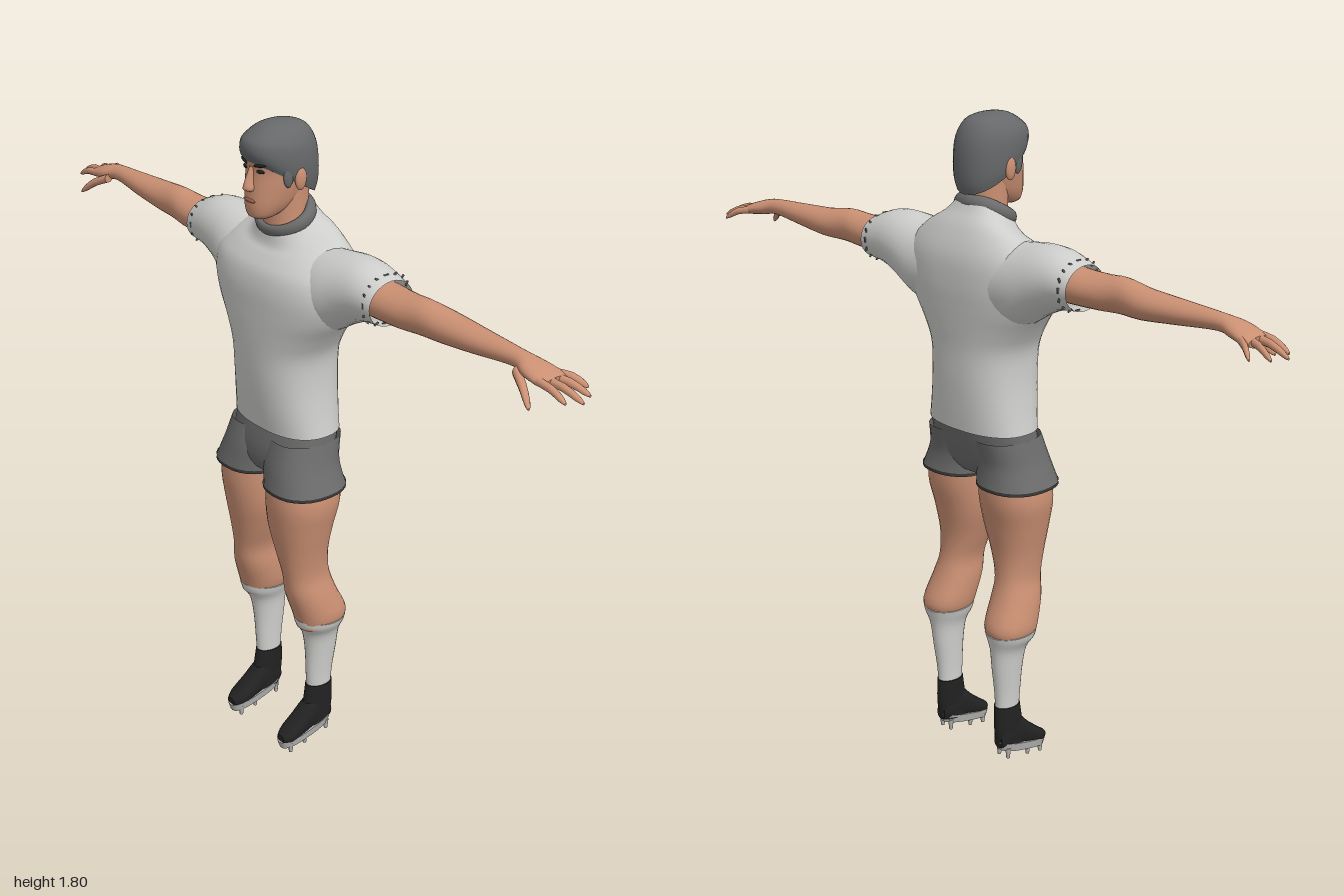
import * as THREE from 'three';

const mat = (name, color, double) => {
  const m = new THREE.MeshStandardMaterial({ color });
  m.name = name;
  if (double) m.side = THREE.DoubleSide;
  return m;
};

// Smooth skin through oval rings [t, aMin, aMax, bMin, bMax, tilt].
// t runs along the axis; (a, b) is (x, z) for y, (z, y) for x and (y, x) for z.
function loft(axis, rings, { power = 2, sides = 28, steps = 4, caps = true } = {}) {
  const rows = [];
  const at = i => rings[Math.max(0, Math.min(rings.length - 1, i))];
  for (let i = 0; i < rings.length - 1; i++)
    for (let s = 0; s < steps; s++) {
      const u = s / steps;
      rows.push([0, 1, 2, 3, 4, 5].map(k => {
        const [p, q, r, w] = [-1, 0, 1, 2].map(d => at(i + d)[k] || 0);
        const m0 = (r - p) / 2, m1 = (w - q) / 2;
        return (2 * u ** 3 - 3 * u * u + 1) * q + (u ** 3 - 2 * u * u + u) * m0
          + (3 * u * u - 2 * u ** 3) * r + (u ** 3 - u * u) * m1;
      }));
    }
  rows.push(at(rings.length));
  const pos = [], idx = [];
  const put = (a, t, b) => pos.push(...(axis === 'y' ? [a, t, b] : axis === 'x' ? [t, b, a] : [b, a, t]));
  const ring = ([t, a0, a1, b0, b1, tilt = 0]) => {
    const start = pos.length / 3;
    for (let j = 0; j < sides; j++) {
      const th = j / sides * Math.PI * 2, c = Math.cos(th), s = Math.sin(th);
      const a = (a0 + a1) / 2 + (a1 - a0) / 2 * Math.sign(c) * Math.abs(c) ** (2 / power);
      const db = (b1 - b0) / 2 * Math.sign(s) * Math.abs(s) ** (2 / power);
      put(a, t - tilt * db, (b0 + b1) / 2 + db);
    }
    return start;
  };
  rows.forEach(ring);
  for (let i = 0; i < rows.length - 1; i++)
    for (let j = 0; j < sides; j++) {
      const p = i * sides + j, q = i * sides + (j + 1) % sides;
      idx.push(p, p + sides, q, q, p + sides, q + sides);
    }
  if (caps) [rows[0], rows[rows.length - 1]].forEach((r, end) => {
    const s = ring(r), c = pos.length / 3;
    put((r[1] + r[2]) / 2, r[0], (r[3] + r[4]) / 2);
    for (let j = 0; j < sides; j++) {
      const p = s + j, q = s + (j + 1) % sides;
      end ? idx.push(c, q, p) : idx.push(c, p, q);
    }
  });
  const g = new THREE.BufferGeometry();
  g.setAttribute('position', new THREE.Float32BufferAttribute(pos, 3));
  g.setIndex(idx);
  g.computeVertexNormals();
  return g;
}

// Copy of a geometry on the other side of the body
function mirrored(geo) {
  const g = geo.clone().scale(-1, 1, 1), i = g.index.array;
  for (let k = 0; k < i.length; k += 3) [i[k], i[k + 1]] = [i[k + 1], i[k]];
  g.computeVertexNormals();
  return g;
}

const blob = (x, y, z, rx, ry, rz) => new THREE.SphereGeometry(1, 16, 12).scale(rx, ry, rz).translate(x, y, z);

export function createModel() {
  const model = new THREE.Group();
  const skin = mat('skin', 0xcb9073), shirt = mat('shirt', 0xcdcdcb, true), grey = mat('shorts grey', 0x6c6c6c, true);
  const hair = mat('hair', 0x66686a), black = mat('black', 0x222222), white = mat('sock white', 0xd2d2d0);
  const sole = mat('sole grey', 0xb4b4b2), lip = mat('lips', 0xa3644f), trim = mat('dark trim', 0x3a3a3a, true);
  const add = (name, geo, m) => {
    const mesh = new THREE.Mesh(geo, m);
    mesh.name = name;
    model.add(mesh);
  };
  const pair = (name, geo, m) => {
    add('left ' + name, geo, m);
    add('right ' + name, mirrored(geo), m);
  };

  // Shirt
  add('shirt body', loft('y', [
    [0.98, -0.163, 0.163, -0.11, 0.095], [1.04, -0.152, 0.152, -0.115, 0.105],
    [1.12, -0.143, 0.143, -0.12, 0.115], [1.2, -0.146, 0.146, -0.122, 0.12],
    [1.26, -0.175, 0.175, -0.127, 0.122], [1.32, -0.215, 0.215, -0.132, 0.122],
    [1.38, -0.235, 0.235, -0.135, 0.12], [1.44, -0.225, 0.225, -0.13, 0.108, 0.1],
    [1.49, -0.17, 0.17, -0.105, 0.085, 0.3], [1.52, -0.11, 0.11, -0.08, 0.068, 0.5],
    [1.55, -0.076, 0.076, -0.064, 0.062, 0.58]
  ], { power: 2.4, sides: 40, caps: false }), shirt);
  pair('sleeve', loft('x', [
    [0.1, -0.12, 0.07, 1.28, 1.49], [0.18, -0.122, 0.075, 1.285, 1.5],
    [0.25, -0.115, 0.06, 1.325, 1.508], [0.31, -0.107, 0.05, 1.352, 1.503],
    [0.375, -0.1, 0.04, 1.362, 1.478]
  ], { caps: false }), shirt);

  // Dashed stitching round each sleeve
  for (let i = 0; i < 16; i++) {
    const a = i / 16 * Math.PI * 2;
    const dash = new THREE.BoxGeometry(0.004, 0.004, 0.014).rotateX(-a)
      .translate(0.353, 1.424 + 0.063 * Math.sin(a + Math.PI / 2), -0.031 + 0.073 * Math.cos(a + Math.PI / 2) * -1);
    pair('sleeve stitch', dash, grey);
  }

  // Collar and neck
  add('collar', new THREE.TorusGeometry(0.07, 0.013, 12, 36).scale(1.08, 0.93, 1.5)
    .rotateX(Math.PI / 2 + 0.53).translate(0, 1.55, -0.001), grey);
  add('neck', loft('y', [
    [1.49, -0.068, 0.068, -0.06, 0.056], [1.56, -0.06, 0.06, -0.058, 0.056], [1.65, -0.06, 0.06, -0.062, 0.058]
  ]), skin);

  // Head and hair
  add('head', loft('y', [
    [1.558, -0.02, 0.02, 0.06, 0.096], [1.568, -0.037, 0.037, 0.03, 0.11], [1.595, -0.053, 0.053, -0.02, 0.115],
    [1.635, -0.064, 0.064, -0.055, 0.112], [1.68, -0.071, 0.071, -0.068, 0.106], [1.72, -0.073, 0.073, -0.07, 0.108],
    [1.755, -0.062, 0.062, -0.06, 0.09], [1.775, -0.03, 0.03, -0.03, 0.06]
  ], { power: 2.2 }), skin);
  add('hair', loft('y', [
    [1.652, -0.073, 0.073, -0.074, 0.108, -0.58], [1.675, -0.079, 0.079, -0.083, 0.119, -0.46],
    [1.71, -0.081, 0.081, -0.085, 0.123, -0.28], [1.748, -0.076, 0.076, -0.078, 0.117, -0.12],
    [1.778, -0.057, 0.057, -0.056, 0.095], [1.793, -0.033, 0.033, -0.025, 0.066], [1.798, -0.006, 0.006, 0.01, 0.03]
  ], { power: 2.2 }), hair);
  pair('sideburn', blob(0.07, 1.675, 0.045, 0.007, 0.03, 0.015), hair);
  pair('ear', blob(0.077, 1.664, 0.012, 0.009, 0.03, 0.017).rotateX(0), skin);

  // Face
  add('nose', loft('y', [
    [1.632, -0.008, 0.008, 0.1, 0.116], [1.64, -0.015, 0.015, 0.09, 0.13],
    [1.662, -0.01, 0.01, 0.09, 0.125], [1.695, -0.007, 0.007, 0.09, 0.11]
  ], { sides: 16 }), skin);
  pair('brow', blob(0, 0, 0, 0.019, 0.0045, 0.004).rotateZ(0.15).rotateY(0.3).translate(0.031, 1.703, 0.104), black);
  pair('eye', blob(0, 0, 0, 0.012, 0.005, 0.004).rotateY(0.3).translate(0.03, 1.687, 0.101), black);
  add('mouth', blob(0, 1.609, 0.113, 0.023, 0.0055, 0.005), lip);

  // Arms and hands
  pair('arm', loft('x', [
    [0.3, -0.085, 0.03, 1.375, 1.475], [0.375, -0.087, 0.03, 1.377, 1.468], [0.44, -0.08, 0.025, 1.378, 1.468],
    [0.5, -0.073, 0.015, 1.382, 1.472], [0.58, -0.083, 0.01, 1.385, 1.462], [0.68, -0.075, 0.002, 1.395, 1.456],
    [0.8, -0.063, -0.012, 1.407, 1.45], [0.85, -0.075, 0.002, 1.4, 1.442],
    [0.89, -0.085, 0.002, 1.395, 1.43], [0.915, -0.08, -0.008, 1.394, 1.42]
  ]), skin);
  const finger = (name, [x0, y0, z0], [x1, y1, z1], r) => {
    const rings = [[0, 1], [0.5, 0.95], [0.85, 0.75], [1, 0.3]].map(([u, k]) => {
      const y = y0 + (y1 - y0) * u + 0.008 * Math.sin(u * Math.PI), z = z0 + (z1 - z0) * u;
      return [x0 + (x1 - x0) * u, z - r * k, z + r * k, y - r * k, y + r * k];
    });
    pair(name, loft('x', rings, { sides: 10, steps: 2 }), skin);
  };
  [[-0.073, 0.945, -0.116], [-0.052, 0.982, -0.085], [-0.03, 1, -0.045], [-0.009, 0.977, -0.012]].forEach(([z, x1, z1], i) =>
    finger('finger ' + (i + 1), [0.885, 1.412, z], [x1, 1.386, z1], 0.0105));
  finger('thumb', [0.825, 1.413, -0.008], [0.908, 1.36, 0.03], 0.013);

  // Shorts
  add('shorts seat', loft('y', [
    [0.85, -0.1, 0.1, -0.06, 0.085], [0.88, -0.15, 0.15, -0.08, 0.1], [0.93, -0.162, 0.162, -0.095, 0.1],
    [0.99, -0.158, 0.158, -0.108, 0.088]
  ], { power: 2.4 }), grey);
  const hem = [0.83, 0.002, 0.205, -0.09, 0.124];
  pair('shorts leg', loft('y', [
    hem, [0.86, 0, 0.192, -0.085, 0.118], [0.9, -0.005, 0.176, -0.085, 0.11], [0.96, 0, 0.16, -0.1, 0.094]
  ], { power: 2.3, caps: false }), grey);
  pair('shorts hem', loft('y', [[0.824, 0.001, 0.206, -0.091, 0.125], [0.833, 0.001, 0.206, -0.091, 0.125]],
    { power: 2.3, caps: false, steps: 1 }), trim);

  // Legs, socks and boots
  pair('leg', loft('y', [
    [0.39, 0.07, 0.175, -0.085, 0.045], [0.43, 0.056, 0.186, -0.098, 0.054], [0.5, 0.052, 0.176, -0.068, 0.075],
    [0.56, 0.054, 0.163, -0.05, 0.082], [0.63, 0.032, 0.168, -0.048, 0.094], [0.71, 0.008, 0.182, -0.062, 0.108],
    [0.79, 0.002, 0.194, -0.08, 0.115], [0.87, 0.004, 0.18, -0.08, 0.105]
  ], { power: 2.2 }), skin);
  pair('sock', loft('y', [
    [0.15, 0.088, 0.139, -0.066, 0.008], [0.22, 0.086, 0.143, -0.07, 0.012], [0.3, 0.081, 0.152, -0.08, 0.016],
    [0.36, 0.075, 0.162, -0.086, 0.026], [0.395, 0.062, 0.181, -0.095, 0.047], [0.414, 0.056, 0.187, -0.099, 0.052, -0.05]
  ]), white);
  pair('boot ankle', loft('y', [
    [0.06, 0.086, 0.143, -0.064, 0.04], [0.12, 0.086, 0.143, -0.072, 0.024], [0.185, 0.084, 0.143, -0.07, 0.012]
  ]), black);
  pair('boot foot', loft('z', [
    [-0.064, 0.06, 0.1, 0.1, 0.13], [-0.045, 0.052, 0.13, 0.088, 0.141], [0, 0.045, 0.145, 0.085, 0.144],
    [0.045, 0.036, 0.105, 0.083, 0.147], [0.085, 0.03, 0.072, 0.086, 0.146], [0.108, 0.032, 0.055, 0.1, 0.132]
  ], { power: 2.3 }), black);
  pair('boot sole', loft('y', [
    [0.032, 0.087, 0.143, -0.058, 0.106, 0.23], [0.056, 0.083, 0.147, -0.066, 0.113, 0.23]
  ], { power: 2.6, steps: 1 }), sole);
  for (const [z, y] of [[-0.042, 0.026], [0.035, 0.01], [0.085, 0]])
    for (const x of [0.098, 0.132])
      pair('boot stud', new THREE.CylinderGeometry(0.008, 0.005, 0.03, 10).translate(x, y + 0.015, z), sole);

  return model;
}
